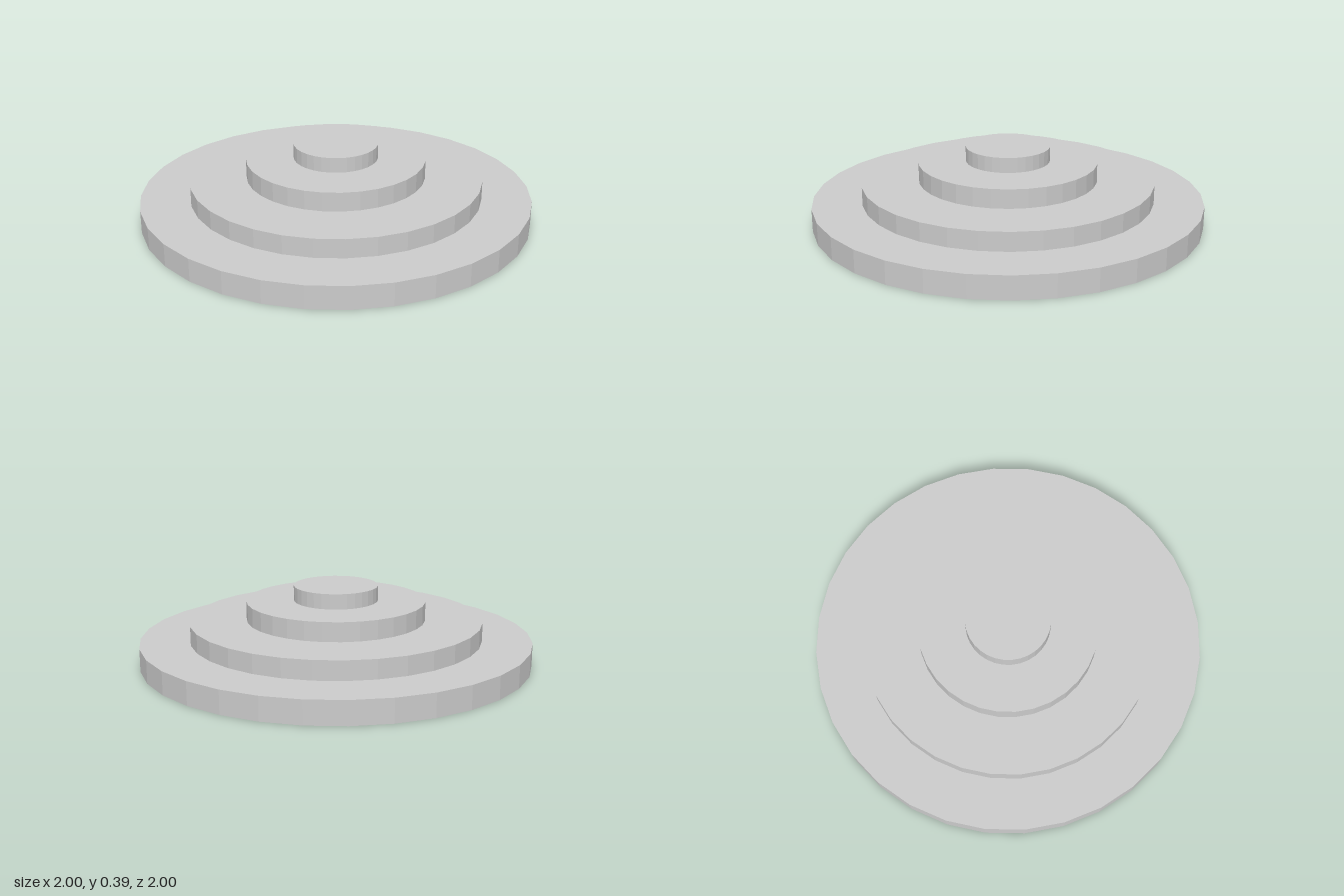
import * as THREE from 'three';

const SIDES = 32;

// Tiers from bottom to top: name, radius, bottom and top height
const TIERS = [
  ['baseTier', 1, 0, 0.117],
  ['lowerTier', 0.747, 0.117, 0.213],
  ['upperTier', 0.457, 0.213, 0.31],
  ['topTier', 0.215, 0.31, 0.387],
];

export function createModel() {
  const group = new THREE.Group();
  group.name = 'steppedRoundPlatform';
  const material = new THREE.MeshStandardMaterial({ color: 0xcccccc, flatShading: true });

  // Concentric discs stacked on one another
  for (const [name, radius, bottom, top] of TIERS) {
    const geometry = new THREE.CylinderGeometry(radius, radius, top - bottom, SIDES);
    const tier = new THREE.Mesh(geometry, material);
    tier.name = name;
    tier.position.y = (bottom + top) / 2;
    group.add(tier);
  }
  return group;
}
